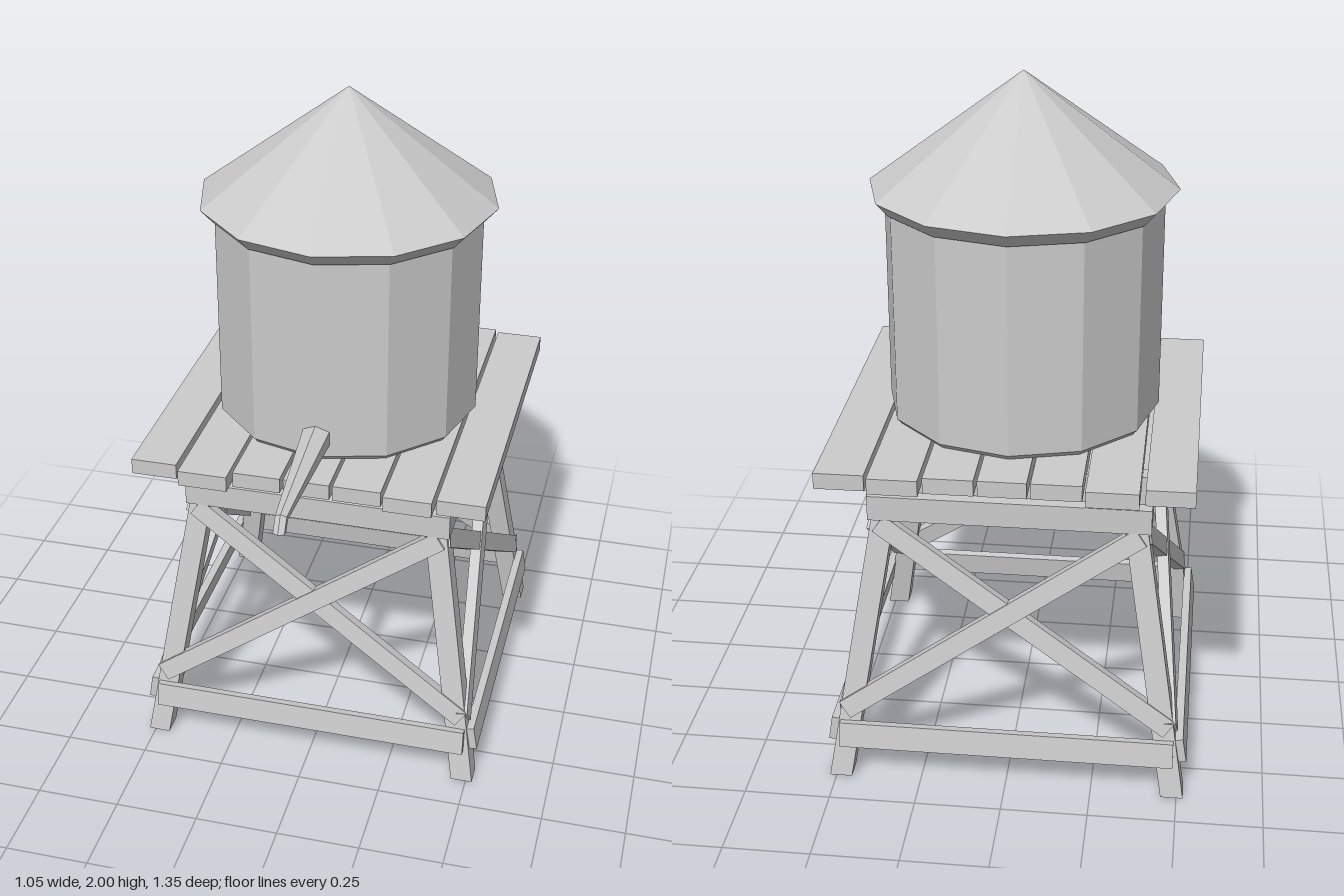
import * as THREE from 'three';

const CZ = -0.125;                 // z of the tower axis
const LEG_H = 0.81, LEG_W = 0.065;
const SLOPE = 0.159;               // inward lean of the legs per unit of height
const legOut = y => 0.487 - SLOPE * y;

const grey = new THREE.MeshStandardMaterial({ color: 0xcccccc, flatShading: true });

function add(parent, name, geometry, x = 0, y = 0, z = 0) {
  const mesh = new THREE.Mesh(geometry, grey);
  mesh.name = name;
  mesh.position.set(x, y, z);
  parent.add(mesh);
  return mesh;
}

function lathe(points) {
  return new THREE.LatheGeometry(points.map(p => new THREE.Vector2(...p)), 12);
}

// Leaning leg with level ends: a box sheared towards the axis
function legGeometry(sx, sz) {
  const g = new THREE.BoxGeometry(LEG_W, LEG_H, LEG_W);
  g.translate(0, LEG_H / 2, 0);
  const p = g.attributes.position;
  for (let i = 0; i < p.count; i++) {
    const o = legOut(p.getY(i));
    p.setX(i, p.getX(i) + sx * o);
    p.setZ(i, p.getZ(i) + sz * o);
  }
  g.computeVertexNormals();
  return g;
}

// Flat bar between two points lying in the leaning plane of one side
function addBrace(parent, from, to, offset) {
  const normal = new THREE.Vector3(0, SLOPE, 1).normalize();
  const along = to.clone().sub(from);
  const length = along.length();
  along.normalize();
  const across = normal.clone().cross(along);
  const mesh = add(parent, 'crossBrace', new THREE.BoxGeometry(length, 0.058, 0.034));
  mesh.quaternion.setFromRotationMatrix(new THREE.Matrix4().makeBasis(along, across, normal));
  mesh.position.copy(from).add(to).multiplyScalar(0.5).addScaledVector(normal, offset);
}

// Tapered six-sided spout lofted through rings; each ring: y, z, radius, tilt
function spoutGeometry() {
  const rings = [[1.085, 0.22, 0.048, 0], [1.045, 0.632, 0.019, 0.6], [1.011, 0.655, 0.019, 1.45]];
  const n = 6, pos = [], idx = [];
  for (const [y, z, r, tilt] of rings) {
    for (let k = 0; k < n; k++) {
      const a = k / n * Math.PI * 2, up = r * Math.cos(a);
      pos.push(r * Math.sin(a), y + up * Math.cos(tilt), z + up * Math.sin(tilt));
    }
  }
  for (let i = 0; i < rings.length - 1; i++) {
    for (let k = 0; k < n; k++) {
      const a0 = i * n + k, a1 = i * n + (k + 1) % n;
      idx.push(a0, a0 + n, a1, a1, a0 + n, a1 + n);
    }
  }
  const end = (rings.length - 1) * n;
  for (let k = 1; k < n - 1; k++) idx.push(end, end + k + 1, end + k);
  const g = new THREE.BufferGeometry();
  g.setAttribute('position', new THREE.Float32BufferAttribute(pos, 3));
  g.setIndex(idx);
  g.computeVertexNormals();
  return g;
}

export function createModel() {
  const model = new THREE.Group();
  model.name = 'waterTower';

  // Tank and conical roof
  add(model, 'tank', lathe([[0, 1.006], [0.383, 1.006], [0.397, 1.022], [0.397, 1.64]]), 0, 0, CZ);
  add(model, 'roof', lathe([[0, 1.635], [0.403, 1.635], [0.438, 1.675], [0, 2]]), 0, 0, CZ);
  add(model, 'spout', spoutGeometry());

  // Deck planks: x from, x to, z back, z front
  const planks = [
    [-0.52, -0.385, -0.648, 0.39], [-0.37, -0.225, -0.675, 0.42], [-0.215, -0.075, -0.645, 0.39],
    [-0.065, 0.07, -0.645, 0.39], [0.08, 0.22, -0.645, 0.39], [0.23, 0.37, -0.665, 0.41],
    [0.38, 0.52, -0.648, 0.39],
  ];
  const deck = new THREE.Group();
  deck.name = 'deck';
  model.add(deck);
  for (const [x0, x1, z0, z1] of planks) {
    add(deck, 'plank', new THREE.BoxGeometry(x1 - x0, 0.047, z1 - z0), (x0 + x1) / 2, 0.982, (z0 + z1) / 2);
  }

  // Joists with slanted ends, under the planks
  const joist = new THREE.Shape([[-0.44, 0.872], [0.44, 0.872], [0.472, 0.96], [-0.472, 0.96]]
    .map(p => new THREE.Vector2(...p)));
  for (const z of [0.192, -0.488]) {
    add(model, 'joist', new THREE.ExtrudeGeometry(joist, { depth: 0.048, bevelEnabled: false }), 0, 0, z);
  }

  // Slab on top of the legs
  add(model, 'topFrame', new THREE.BoxGeometry(0.802, 0.075, 0.802), 0, 0.838, CZ);

  // Legs
  for (const sx of [-1, 1]) {
    for (const sz of [-1, 1]) add(model, 'leg', legGeometry(sx, sz), 0, 0, CZ);
  }

  // Bottom rail and crossed braces on each of the four sides
  for (let i = 0; i < 4; i++) {
    const side = new THREE.Group();
    side.name = 'sideBracing';
    side.position.z = CZ;
    side.rotation.y = i * Math.PI / 2;
    model.add(side);

    const rail = add(side, 'bottomRail', new THREE.BoxGeometry(0.972, 0.076, 0.025),
      0, 0.142, legOut(0.142) + LEG_W / 2 + 0.01);
    rail.rotation.x = -Math.atan(SLOPE);

    for (const s of [-1, 1]) {
      addBrace(side,
        new THREE.Vector3(-s * 0.472, 0.208, legOut(0.208)),
        new THREE.Vector3(s * 0.372, 0.783, legOut(0.783)),
        0.022 + s * 0.002);
    }
  }
  return model;
}
